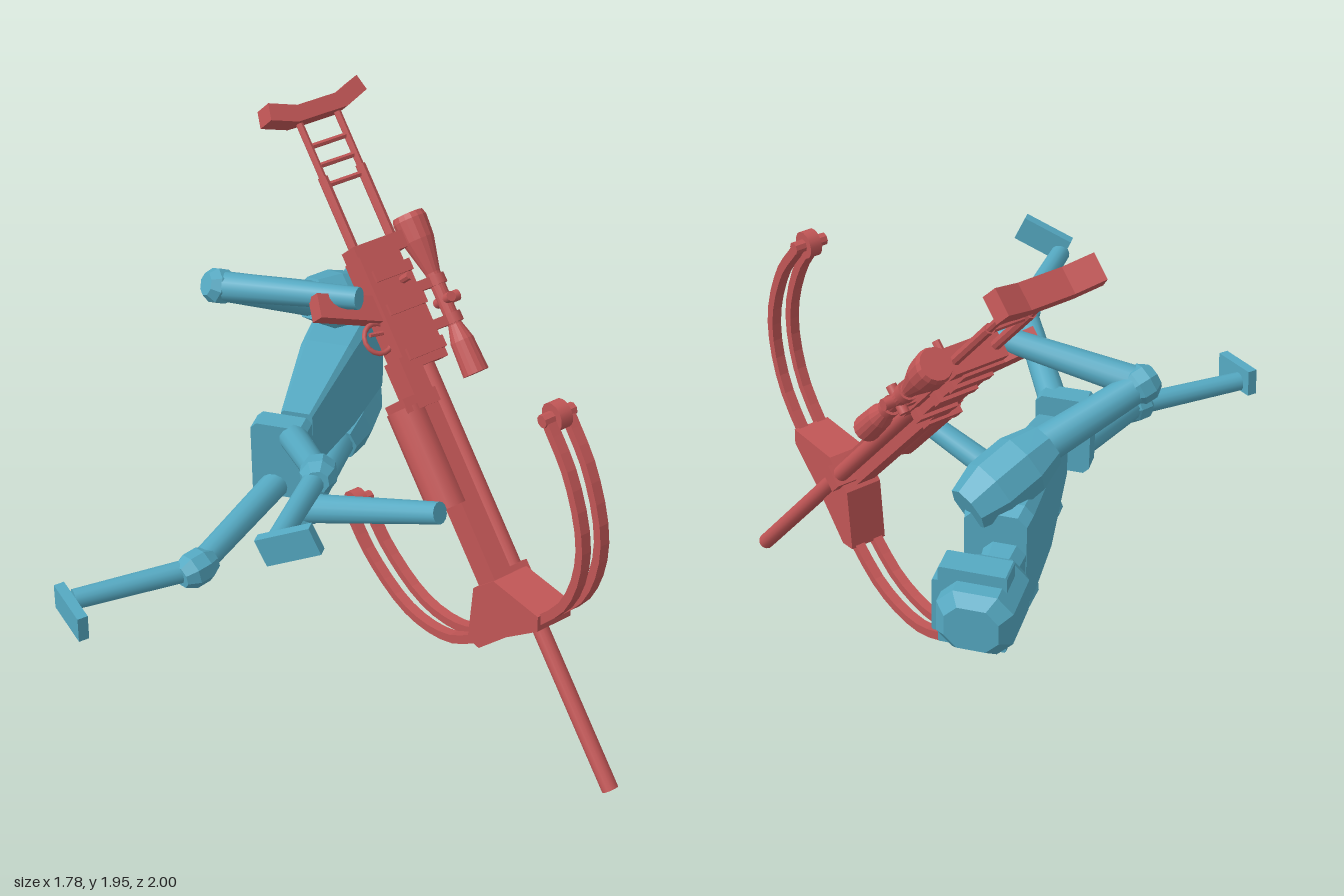
import * as THREE from 'three';

const V = (x, y, z) => new THREE.Vector3(x, y, z);

export function createModel() {
  const model = new THREE.Group();
  const blue = new THREE.MeshStandardMaterial({ color: 0x55a9c2 });
  blue.name = 'figure blue';
  const red = new THREE.MeshStandardMaterial({ color: 0xc15656 });
  red.name = 'weapon red';

  const add = (parent, name, geo, mat) => {
    const mesh = new THREE.Mesh(geo, mat);
    mesh.name = name;
    parent.add(mesh);
    return mesh;
  };
  const flat = (geo) => {
    const g = geo.index ? geo.toNonIndexed() : geo;
    g.computeVertexNormals();
    return g;
  };

  // Straight (tapered) cylinder between two points
  function rod(parent, name, mat, a, b, r0, r1 = r0, sides = 14) {
    const dir = b.clone().sub(a);
    let geo = new THREE.CylinderGeometry(r1, r0, dir.length(), sides);
    if (sides < 10) geo = flat(geo);
    const mesh = add(parent, name, geo, mat);
    mesh.position.copy(a).lerp(b, 0.5);
    mesh.quaternion.setFromUnitVectors(V(0, 1, 0), dir.normalize());
    return mesh;
  }

  // Faceted loft along z; each section is [z, x0, x1, y0, y1, chamfer]
  function loft(parent, name, mat, sections) {
    const rings = sections.map(([z, x0, x1, y0, y1, c]) => [
      [x1, y0 + c], [x1, y1 - c], [x1 - c, y1], [x0 + c, y1],
      [x0, y1 - c], [x0, y0 + c], [x0 + c, y0], [x1 - c, y0],
    ].map(([x, y]) => V(x, y, z)));
    const pts = [];
    for (let k = 0; k + 1 < rings.length; k++) {
      const a = rings[k], b = rings[k + 1];
      for (let i = 0; i < 8; i++) {
        const j = (i + 1) % 8;
        pts.push(a[i], a[j], b[j], a[i], b[j], b[i]);
      }
    }
    const first = rings[0], last = rings[rings.length - 1];
    for (let i = 1; i < 7; i++) {
      pts.push(last[0], last[i], last[i + 1], first[0], first[i + 1], first[i]);
    }
    const geo = new THREE.BufferGeometry().setFromPoints(pts);
    geo.computeVertexNormals();
    return add(parent, name, geo, mat);
  }

  // Faceted joint block: fat in the middle, narrower at both ends
  function joint(parent, name, a, b, r, end, sides = 8) {
    const dir = b.clone().sub(a), L = dir.length();
    const profile = [[0, 0], [r * end, 0], [r, L * 0.3], [r, L * 0.7], [r * end, L], [0, L]];
    const geo = flat(new THREE.LatheGeometry(profile.map(([x, y]) => new THREE.Vector2(x, y)), sides));
    const mesh = add(parent, name, geo, blue);
    mesh.position.copy(a);
    mesh.quaternion.setFromUnitVectors(V(0, 1, 0), dir.normalize());
  }

  // ---- Figure, lying along z with its face towards +x ----
  const figure = new THREE.Group();
  figure.name = 'figure';
  model.add(figure);

  loft(figure, 'head', blue, [
    [-1.0, -0.45, -0.28, 0.88, 1.03, 0.04], [-0.96, -0.485, -0.245, 0.85, 1.06, 0.05],
    [-0.78, -0.485, -0.245, 0.85, 1.06, 0.05], [-0.735, -0.46, -0.27, 0.87, 1.04, 0.04],
  ]);
  loft(figure, 'visorBand', blue, [[-0.91, -0.45, -0.235, 0.82, 1.1, 0.005], [-0.82, -0.45, -0.235, 0.82, 1.1, 0.005]]);
  loft(figure, 'visorFront', blue, [[-0.91, -0.26, -0.215, 0.86, 1.05, 0.005], [-0.82, -0.26, -0.215, 0.86, 1.05, 0.005]]);
  loft(figure, 'neck', blue, [[-0.75, -0.43, -0.31, 0.89, 1.02, 0.03], [-0.62, -0.44, -0.3, 0.88, 1.03, 0.03]]);
  loft(figure, 'torso', blue, [
    [-0.645, -0.44, -0.24, 0.79, 1.13, 0.03], [-0.6, -0.45, -0.23, 0.77, 1.15, 0.03],
    [-0.32, -0.44, -0.25, 0.79, 1.13, 0.02], [0.035, -0.4, -0.29, 0.84, 1.07, 0.01],
  ]);
  loft(figure, 'pelvis', blue, [[0.1, -0.46, -0.27, 0.82, 1.1, 0.02], [0.175, -0.46, -0.27, 0.82, 1.1, 0.02]]);

  // Arms: shoulder guard, upper arm, elbow, forearm
  const arms = [
    ['right', V(-0.25, 1.13, -0.64), V(-0.43, 1.25, -0.4), V(-0.68, 1.385, -0.18), V(-0.17, 1.45, -0.125)],
    ['left', V(-0.325, 0.745, -0.66), V(-0.325, 0.7, -0.34), V(-0.32, 0.69, 0.05), V(0.2, 0.885, 0.21)],
  ];
  for (const [side, top, low, elbow, hand] of arms) {
    joint(figure, side + 'Shoulder', top, low, 0.105, 0.72);
    rod(figure, side + 'UpperArm', blue, low, elbow, 0.062, 0.05);
    const back = elbow.clone().sub(low).normalize().multiplyScalar(0.05);
    joint(figure, side + 'Elbow', elbow.clone().sub(back), elbow.clone().add(back), 0.062, 0.65);
    rod(figure, side + 'Forearm', blue, elbow, hand, 0.052, 0.038);
  }

  // Legs: thigh, knee, shin, foot plate
  const legs = [
    ['right', V(-0.32, 1.05, 0.15), V(-0.12, 1.18, 0.5), V(-0.14, 1.18, 0.93), V(-0.16, 1.19, 0.94), V(0.01, 1.265, 0.935)],
    ['left', V(-0.38, 0.86, 0.15), V(-0.51, 0.8, 0.6), V(-0.83, 0.8, 0.86), V(-0.88, 0.805, 0.855), V(-0.75, 0.79, 0.98)],
  ];
  for (const [side, hip, knee, ankle, heel, toe] of legs) {
    rod(figure, side + 'Thigh', blue, hip, knee, 0.048, 0.042);
    const k = ankle.clone().sub(hip).normalize().multiplyScalar(0.065);
    joint(figure, side + 'Knee', knee.clone().sub(k), knee.clone().add(k), 0.06, 0.65);
    rod(figure, side + 'Shin', blue, knee, ankle, 0.038, 0.034);
    const x = toe.clone().sub(heel), length = x.length();
    x.normalize();
    const z = ankle.clone().sub(knee).normalize();
    const y = z.clone().cross(x).normalize();
    z.crossVectors(x, y);
    const foot = add(figure, side + 'Foot', new THREE.BoxGeometry(length, 0.095, 0.035), blue);
    foot.position.copy(heel).lerp(toe, 0.5);
    foot.quaternion.setFromRotationMatrix(new THREE.Matrix4().makeBasis(x, y, z));
  }

  // ---- Bow rifle: local x = muzzle direction, y = its top, z = sideways ----
  const gun = new THREE.Group();
  gun.name = 'bowRifle';
  const up = V(0.61, 0, -0.79).normalize();
  const side = V(0.526, -0.748, 0.408).cross(up).normalize();
  gun.quaternion.setFromRotationMatrix(new THREE.Matrix4().makeBasis(up.clone().cross(side), up, side));
  gun.position.set(-0.46, 1.9, -0.57);
  model.add(gun);

  const box = (name, x0, x1, y0, y1, w, z = 0) => {
    const m = add(gun, name, new THREE.BoxGeometry(x1 - x0, y1 - y0, w), red);
    m.position.set((x0 + x1) / 2, (y0 + y1) / 2, z);
    return m;
  };
  const plate = (name, pts, depth) => {
    const shape = new THREE.Shape(pts.map(([x, y]) => new THREE.Vector2(x, y)));
    const geo = new THREE.ExtrudeGeometry(shape, { depth, bevelEnabled: false });
    geo.translate(0, 0, -depth / 2);
    return add(gun, name, geo, red);
  };

  // Skeleton stock
  plate('buttPlate', [[-0.045, 0.18], [-0.01, 0.08], [-0.01, -0.08], [-0.045, -0.18],
    [0.012, -0.195], [0.045, -0.1], [0.045, 0.1], [0.012, 0.195]], 0.09);
  for (const y of [-0.075, 0.08]) {
    rod(gun, 'stockRod', red, V(0.03, y, 0), V(0.56, y, 0), 0.013, 0.013, 8);
    rod(gun, 'stockSleeve', red, V(0.24, y, 0), V(0.56, y, 0), 0.018, 0.018, 8);
  }
  for (const x of [0.13, 0.2, 0.27]) rod(gun, 'stockRung', red, V(x, -0.075, 0), V(x, 0.08, 0), 0.01, 0.01, 6);

  // Receiver, rail and small fittings
  box('rearPlate', 0.5, 0.56, -0.1, 0.1, 0.09);
  box('receiver', 0.54, 0.95, -0.1, 0.055, 0.11);
  box('topRail', 0.6, 0.95, 0.05, 0.085, 0.05);
  for (const x of [0.6, 0.72, 0.88]) box('receiverRib', x, x + 0.04, -0.08, 0.07, 0.135);
  rod(gun, 'boltHandle', red, V(0.66, 0.02, 0), V(0.66, 0.02, 0.11), 0.014, 0.014, 8);
  plate('pistolGrip', [[0.68, -0.08], [0.6, -0.29], [0.68, -0.31], [0.77, -0.09]], 0.07);
  const guard = add(gun, 'triggerGuard', new THREE.TorusGeometry(0.052, 0.009, 6, 16), red);
  guard.position.set(0.81, -0.125, 0);
  rod(gun, 'trigger', red, V(0.8, -0.09, 0), V(0.79, -0.15, 0), 0.008, 0.008, 6);

  // Fore stock, foregrip and barrel
  box('foreStock', 0.9, 1.78, -0.115, -0.04, 0.11);
  rod(gun, 'foregrip', red, V(1.06, -0.135, 0), V(1.42, -0.135, 0), 0.068, 0.068, 12);
  box('foregripCollar', 1.03, 1.08, -0.17, -0.035, 0.13);
  rod(gun, 'barrel', red, V(0.9, 0.006, 0), V(2.5, 0.006, 0), 0.029);
  box('barrelBand', 1.68, 1.74, -0.06, 0.04, 0.08);

  // Telescopic sight
  const profile = [[0, 0.455], [0.055, 0.455], [0.061, 0.475], [0.056, 0.55], [0.027, 0.67], [0.025, 0.86],
    [0.042, 0.92], [0.047, 1.04], [0, 1.04]].map(([r, t]) => new THREE.Vector2(r, t));
  const scope = add(gun, 'scope', flat(new THREE.LatheGeometry(profile, 16)), red);
  scope.rotation.z = -Math.PI / 2;
  scope.position.y = 0.173;
  for (const x of [0.68, 0.82]) {
    rod(gun, 'scopeRing', red, V(x, 0.173, 0), V(x + 0.035, 0.173, 0), 0.035, 0.035, 12);
    box('scopeMount', x, x + 0.035, 0.07, 0.15, 0.035);
  }
  rod(gun, 'scopeTurret', red, V(0.77, 0.173, 0), V(0.77, 0.23, 0), 0.02);
  rod(gun, 'sideTurret', red, V(0.77, 0.173, -0.05), V(0.77, 0.173, 0.05), 0.018);

  // Bow: riser wedge and paired curved limbs, mirrored to both sides
  for (const m of [1, -1]) {
    const across = (name, pts, y0, y1) => {
      const shape = new THREE.Shape(pts.map(([t, s]) => new THREE.Vector2(t, s * m)));
      const geo = new THREE.ExtrudeGeometry(shape, { depth: y1 - y0, bevelEnabled: false });
      geo.rotateX(Math.PI / 2);
      geo.translate(0, y1, 0);
      add(gun, name, geo, red);
    };
    across('riser', [[1.7, 0], [1.7, 0.07], [1.855, 0.24], [1.9, 0.2], [1.89, 0]], -0.13, 0.01);
    const curve = new THREE.CatmullRomCurve3([V(1.875, 0.15, 0), V(1.835, 0.41, 0), V(1.7, 0.6, 0),
      V(1.48, 0.7, 0), V(1.28, 0.715, 0)]);
    const outer = [], inner = [];
    for (let i = 0; i <= 14; i++) {
      const p = curve.getPoint(i / 14), t = curve.getTangent(i / 14);
      outer.push([p.x + t.y * 0.016, p.y - t.x * 0.016]);
      inner.unshift([p.x - t.y * 0.016, p.y + t.x * 0.016]);
    }
    for (const y of [-0.1, -0.025]) across('bowLimb', [...outer, ...inner], y - 0.018, y + 0.018);
    rod(gun, 'limbWheel', red, V(1.28, -0.085, 0.715 * m), V(1.28, -0.04, 0.715 * m), 0.048);
    rod(gun, 'limbAxle', red, V(1.28, -0.125, 0.715 * m), V(1.28, 0, 0.715 * m), 0.022, 0.022, 8);
  }
  return model;
}
